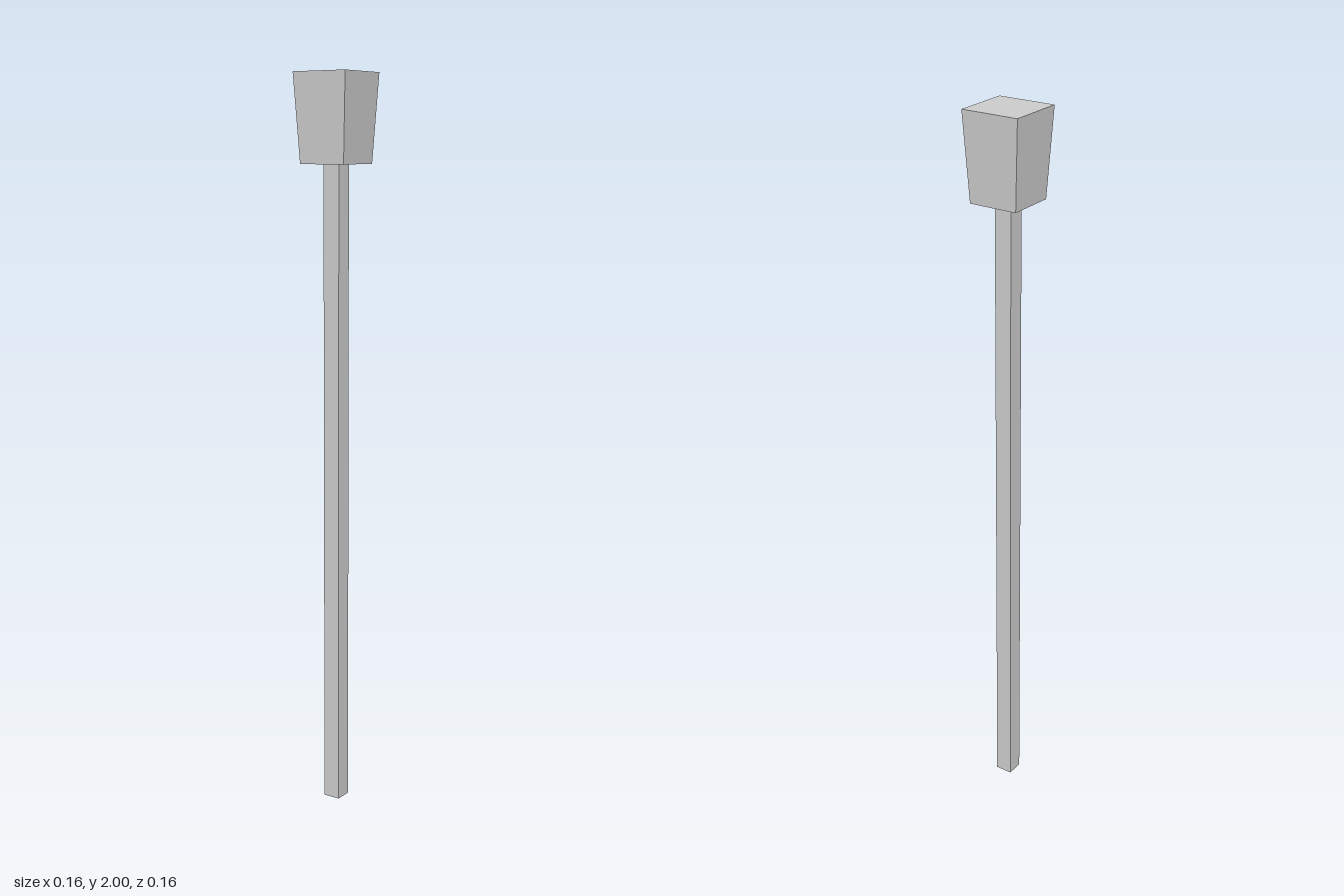
import * as THREE from 'three';

const material = new THREE.MeshStandardMaterial({
  color: 0xcccccc, flatShading: true, side: THREE.DoubleSide,
});

// Upright square prism, given half widths at top and bottom
function squarePrism(name, topHalf, bottomHalf, y0, y1, open) {
  const geometry = new THREE.CylinderGeometry(
    topHalf * Math.SQRT2, bottomHalf * Math.SQRT2, y1 - y0, 4, 1, open);
  geometry.rotateY(Math.PI / 4);
  const mesh = new THREE.Mesh(geometry, material);
  mesh.name = name;
  mesh.position.y = (y0 + y1) / 2;
  return mesh;
}

export function createModel() {
  const group = new THREE.Group();
  group.name = 'postWithHead';
  // Slender square post, open at its ends
  group.add(squarePrism('post', 0.024, 0.024, 0, 1.765, true));
  // Block on top, widening upward
  group.add(squarePrism('head', 0.081, 0.068, 1.765, 2, false));
  return group;
}
